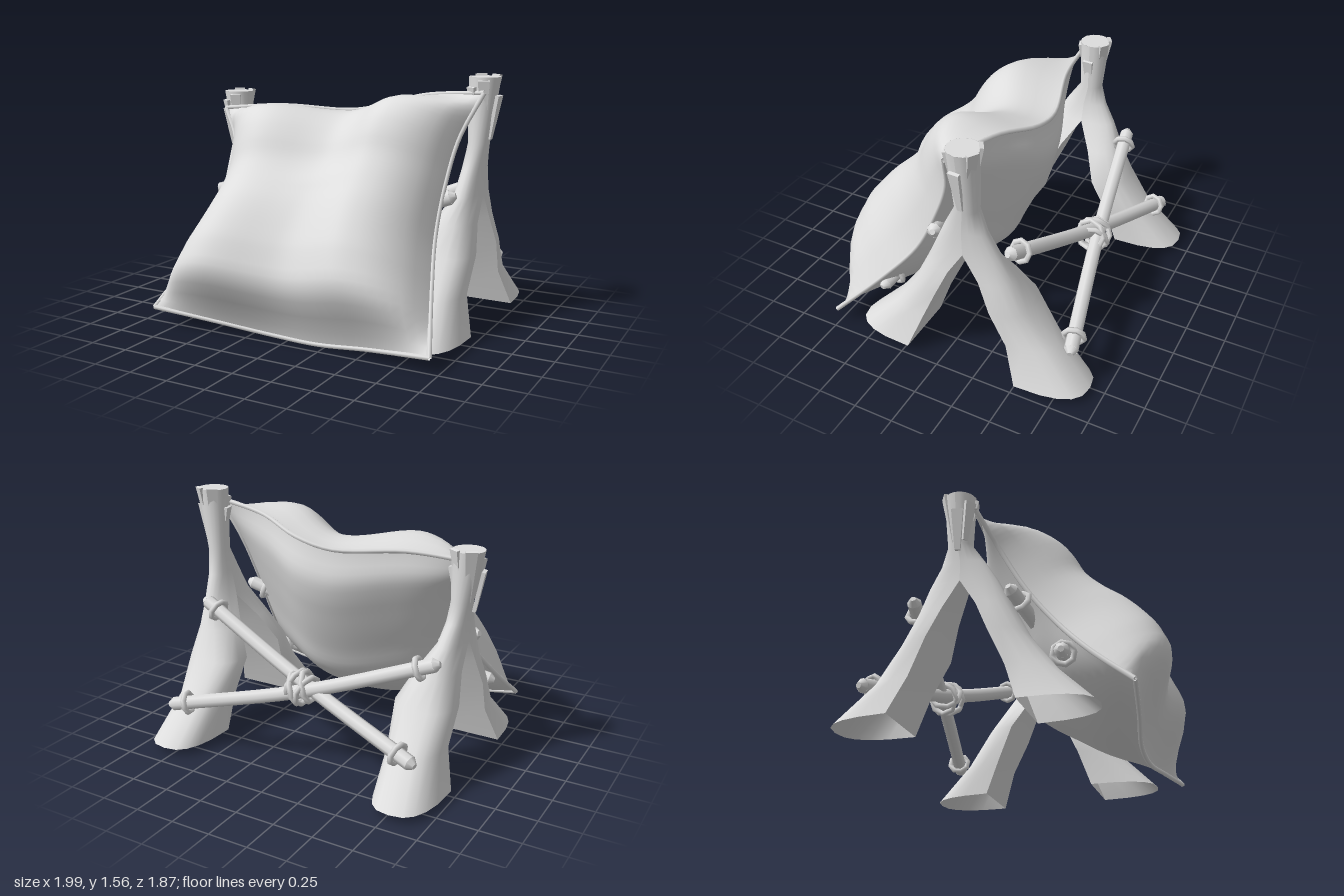
import * as THREE from 'three';

const clay = new THREE.MeshStandardMaterial({ color: 0xdedede, side: THREE.DoubleSide });
clay.name = 'plain light grey';

const V = (x, y, z) => new THREE.Vector3(x, y, z);

function add(parent, name, geometry) {
  const mesh = new THREE.Mesh(geometry, clay);
  mesh.name = name;
  parent.add(mesh);
  return mesh;
}

// Smooth sheet: fn(u, v) returns a point; flip turns the faces round
function sheet(nu, nv, fn, flip) {
  const g = new THREE.PlaneGeometry(1, 1, nu, nv);
  const { position, uv } = g.attributes;
  for (let i = 0; i < position.count; i++) {
    const u = uv.getX(i);
    const p = fn(flip ? 1 - u : u, uv.getY(i));
    position.setXYZ(i, p.x, p.y, p.z);
  }
  g.computeVertexNormals();
  return g;
}

// Evenly spaced smooth 1D profile
function profile(values) {
  const s = new THREE.SplineCurve(values.map((f, i) => new THREE.Vector2(i, f)));
  return t => s.getPoint(t).y;
}

const curve = pts => new THREE.CatmullRomCurve3(pts.map(p => V(...p)));

// Cushion: patch between four seam curves, puffed out to front and back
function buildCushion() {
  const group = new THREE.Group();
  group.name = 'cushion';
  const top = curve([[-.92, 1.28, -.06], [-.5, 1.31, -.13], [-.05, 1.29, -.26], [.2, 1.34, -.27], [.5, 1.42, -.17], [.92, 1.46, -.07]]);
  const bottom = curve([[-.88, .12, .82], [-.5, .08, .76], [-.1, .03, .69], [.2, .02, .68], [.55, .06, .71], [.95, .1, .76]]);
  const left = curve([[-.92, 1.28, -.06], [-.78, 1.08, .04], [-.72, .83, .18], [-.72, .6, .35], [-.8, .35, .57], [-.88, .12, .82]]);
  const right = curve([[.92, 1.46, -.07], [.8, 1.2, 0], [.76, .95, .1], [.76, .65, .25], [.83, .4, .46], [.95, .1, .76]]);
  const patch = (u, v) => {
    const mix = (a, b, t) => a.clone().lerp(b, t);
    const corners = mix(mix(top.getPoint(0), top.getPoint(1), u), mix(bottom.getPoint(0), bottom.getPoint(1), u), v);
    return mix(top.getPoint(u), bottom.getPoint(u), v).add(mix(left.getPoint(v), right.getPoint(v), u)).sub(corners);
  };
  const normal = V(0, .54, .84);
  const frontPuff = profile([0, .31, .43, .47, .47, .51, .56, .57, .54, .42, 0]);
  const backPuff = profile([0, .11, .15, .17, .19, .21, .24, .22, .17, .11, 0]);
  const front = (u, v) => {
    const s = Math.abs(2 * u - 1);
    const crease = Math.max(0, 1 - (s / .6) ** 2) ** 2;
    const dip = crease * (.34 - .2 * v) * Math.abs(2 * v - 1);
    return patch(u, v).addScaledVector(normal, frontPuff(v) * (1 - s ** 4) ** .8 * (1 - dip));
  };
  const back = (u, v) => patch(u, v).addScaledVector(normal, -backPuff(v) * (1 - Math.abs(2 * u - 1) ** 3));
  add(group, 'cushionFront', sheet(36, 36, front, true));
  add(group, 'cushionBack', sheet(36, 36, back, false));
  [top, bottom, left, right].forEach(c => add(group, 'seamPiping', new THREE.TubeGeometry(c, 30, .015, 6)));
  return group;
}

// Forked post: two D-shaped halves that part below the crotch
// Rings: height, outer depth, inner depth, inner x, outer x, roundness (1 is an ellipse)
const rings = [
  [1.55, .095, 0, .79, .985, 1], [1.15, .075, 0, .795, .925, 1], [1.0, .135, 0, .78, .91, .95],
  [.84, .21, 0, .75, .905, .9], [.68, .29, .1, .65, .91, .85], [.5, .38, .18, .555, .935, .8],
  [.28, .54, .28, .585, .92, .8], [.05, .77, .365, .59, .985, .75],
];
const splitZ = -.152;

function buildPost(side, topY) {
  const group = new THREE.Group();
  group.name = side > 0 ? 'leftPost' : 'rightPost';
  const scaleY = y => y > .84 ? .84 + (y - .84) * (topY - .84) / .71 : y;
  const centreZ = y => y > 1.1 ? splitZ - .018 : splitZ;
  const n = rings.length - 1;
  for (const dir of [1, -1]) {
    const bark = (u, v) => {
      const [y, zo, zi, xi, xo, e] = rings[Math.round(v * n)];
      const a = u * Math.PI, c = Math.cos(a);
      const x = (xi + xo) / 2 + (xo - xi) / 2 * Math.sign(c) * Math.abs(c) ** e;
      return V(side * x, scaleY(y), centreZ(y) + dir * (zi + (zo - zi) * Math.max(0, Math.sin(a)) ** e));
    };
    const inner = (u, v) => {
      const [y, , zi, xi, xo] = rings[3 + Math.round(v * (n - 3))];
      return V(side * (xi + (xo - xi) * u), scaleY(y), centreZ(y) + dir * zi);
    };
    const flip = side * dir < 0;
    add(group, dir > 0 ? 'frontLeg' : 'backLeg', sheet(10, n, bark, flip));
    add(group, 'legInnerFace', sheet(1, n - 3, inner, flip));
  }
  // Cut end of the post
  const topZ = centreZ(topY);
  const cap = add(group, 'postTop', new THREE.CircleGeometry(.097, 12));
  cap.rotation.x = -Math.PI / 2;
  cap.position.set(side * .8875, topY, topZ);

  // Split bark strips hugging the flared top
  const strips = [[.3, .28, -.02], [1.5, .27, -.11], [2.6, .28, .01], [3.7, .32, .01], [4.9, .25, -.12], [5.7, .24, -.06]];
  for (const [angle, len, lift] of strips) {
    const g = new THREE.BoxGeometry(.07, len, .022);
    g.translate(0, -len / 2, 0);
    const p = g.attributes.position;
    for (let i = 0; i < p.count; i++) if (p.getY(i) < -.01) p.setX(i, p.getX(i) * .45);
    g.computeVertexNormals();
    const strip = add(group, 'barkStrip', g);
    strip.rotation.order = 'YXZ';
    strip.rotation.set(.2, angle, 0);
    strip.position.set(side * .885 + Math.sin(angle) * .097, topY + lift, topZ + Math.cos(angle) * .097);
  }
  return group;
}

// Point a part's y axis along a direction
const aim = (mesh, dir) => mesh.quaternion.setFromUnitVectors(V(0, 1, 0), dir);

function ropeRing(parent, at, dir, radius, tube) {
  const g = new THREE.TorusGeometry(radius, tube, 6, 8);
  g.rotateX(Math.PI / 2);
  const ring = add(parent, 'ropeLoop', g);
  ring.position.copy(at);
  aim(ring, dir);
}

// Sagging round pole with bevelled ends and a rope loop near each end
function buildPole(parent, a, b) {
  const mid = a.clone().lerp(b, .5).add(V(0, -.05, .025));
  const path = new THREE.CatmullRomCurve3([a, mid, b]);
  add(parent, 'crossPole', new THREE.TubeGeometry(path, 12, .044, 8));
  for (const [t, sign] of [[0, -1], [1, 1]]) {
    const dir = path.getTangent(t).multiplyScalar(sign);
    const tip = add(parent, 'poleTip', new THREE.CylinderGeometry(.018, .044, .035, 8));
    tip.position.copy(path.getPoint(t)).addScaledVector(dir, .0175);
    aim(tip, dir);
  }
  for (const t of [.055, .945]) ropeRing(parent, path.getPoint(t), path.getTangent(t), .062, .018);
  return path;
}

// Crossed poles lashed together at the middle
function buildBrace(name, a1, b1, a2, b2) {
  const group = new THREE.Group();
  group.name = name;
  const paths = [buildPole(group, a1, b1), buildPole(group, a2, b2)];
  const mid = paths[0].getPoint(.5).lerp(paths[1].getPoint(.5), .5);
  for (const path of paths) {
    const dir = path.getTangent(.5);
    for (const s of [-.04, .04]) ropeRing(group, mid.clone().addScaledVector(dir, s), dir, .095, .018);
  }
  return group;
}

export function createModel() {
  const model = new THREE.Group();
  model.name = 'cushionOnPosts';
  model.add(buildCushion());
  model.add(buildPost(1, 1.55), buildPost(-1, 1.39));
  model.add(buildBrace('backBrace', V(-.83, .3, -.75), V(.79, .86, -.4), V(-.83, .78, -.46), V(.79, .3, -.79)));
  model.add(buildBrace('frontBrace', V(-.83, .77, .13), V(.79, .3, .48), V(-.83, .36, .42), V(.79, .85, .1)));
  return model;
}
